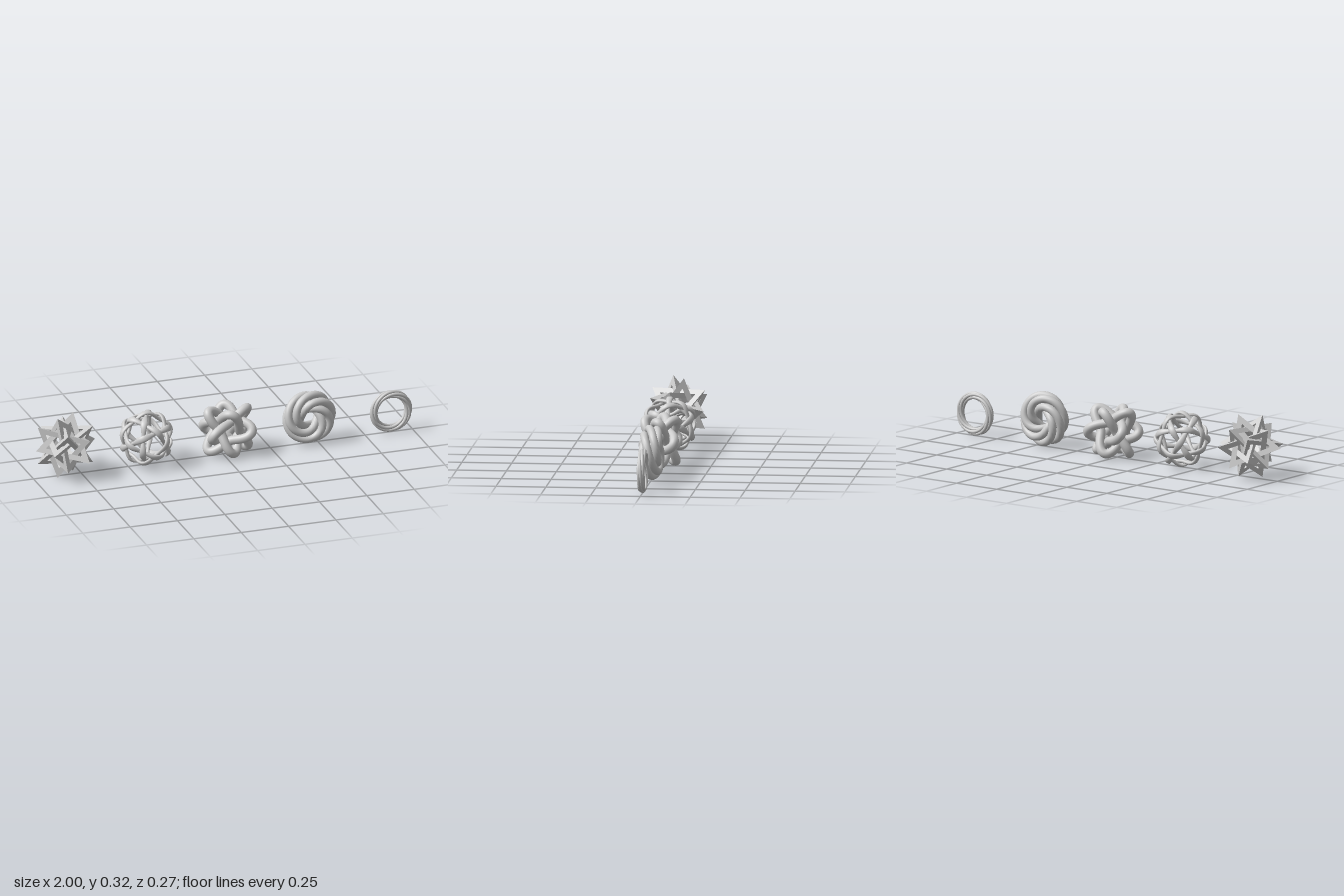
import * as THREE from 'three';

const V = (x, y, z) => new THREE.Vector3(x, y, z);
const polar = (radius, deg, z) =>
  V(radius * Math.cos(THREE.MathUtils.degToRad(deg)), radius * Math.sin(THREE.MathUtils.degToRad(deg)), z);
const material = new THREE.MeshStandardMaterial({ color: 0xcccccc });
const flatMaterial = new THREE.MeshStandardMaterial({ color: 0xcccccc, flatShading: true });

function addMesh(parent, name, geometry, mat = material) {
  const mesh = new THREE.Mesh(geometry, mat);
  mesh.name = name;
  parent.add(mesh);
}

// Closed strand with an elliptical section: thickness along normalAt, width across it
function sweepLoop(pointAt, normalAt, thickness, widthAt, steps = 160, sides = 14) {
  const positions = [], index = [];
  for (let i = 0; i < steps; i++) {
    const t = (i / steps) * Math.PI * 2;
    const p = pointAt(t);
    const tangent = pointAt(t + 0.001).sub(pointAt(t - 0.001)).normalize();
    const normal = normalAt(t, p);
    normal.addScaledVector(tangent, -normal.dot(tangent)).normalize();
    const across = tangent.clone().cross(normal);
    for (let j = 0; j < sides; j++) {
      const a = (j / sides) * Math.PI * 2;
      const q = p.clone()
        .addScaledVector(normal, thickness * Math.cos(a))
        .addScaledVector(across, widthAt(t) * Math.sin(a));
      positions.push(q.x, q.y, q.z);
      const i2 = (i + 1) % steps, j2 = (j + 1) % sides;
      const A = i * sides + j, B = i * sides + j2, C = i2 * sides + j, D = i2 * sides + j2;
      index.push(A, B, C, B, D, C);
    }
  }
  const geometry = new THREE.BufferGeometry();
  geometry.setAttribute('position', new THREE.Float32BufferAttribute(positions, 3));
  geometry.setIndex(index);
  geometry.computeVertexNormals();
  return geometry;
}

// Rings around the given axes, passing alternately over and under one another
function wovenRings(name, axes, waves, inner, outer, thickness, widthAt, zScale) {
  const group = new THREE.Group();
  group.name = name;
  axes.forEach((n, i) => {
    const m = axes[(i + 1) % axes.length].clone();
    if (n.dot(m) < 0) m.negate();
    const u = n.clone().cross(m).normalize();
    const v = n.clone().cross(u);
    const mid = (1 / inner + 1 / outer) / 2, swing = (1 / inner - 1 / outer) / 2;
    const pointAt = (t) => {
      const r = 1 / (mid - swing * Math.cos(waves * t));
      const p = u.clone().multiplyScalar(r * Math.cos(t)).addScaledVector(v, r * Math.sin(t));
      p.z *= zScale;
      return p;
    };
    addMesh(group, 'wovenRing' + (i + 1), sweepLoop(pointAt, (t, p) => p.clone(), thickness, widthAt));
  });
  return group;
}

// Linked strands, each winding once around the tube of a ring
function twistedRing(name, count, ringRadius, windRadius, strandRadius) {
  const group = new THREE.Group();
  group.name = name;
  for (let k = 0; k < count; k++) {
    const phase = (k / count) * Math.PI * 2;
    const normalAt = (t) =>
      V(Math.cos(t + phase) * Math.cos(t), Math.cos(t + phase) * Math.sin(t), Math.sin(t + phase));
    const pointAt = (t) =>
      V(Math.cos(t), Math.sin(t), 0).multiplyScalar(ringRadius).addScaledVector(normalAt(t), windRadius);
    addMesh(group, 'strand' + (k + 1), sweepLoop(pointAt, normalAt, strandRadius, () => strandRadius));
  }
  return group;
}

// Open tetrahedron: a triangular window in every face leaves six bars
function tetraFrame(corners, windowScale) {
  const positions = [];
  const add = (pts, outward) => {
    for (let k = 1; k < pts.length - 1; k++) {
      let [a, b, c] = [pts[0], pts[k], pts[k + 1]];
      const normal = b.clone().sub(a).cross(c.clone().sub(a));
      if (normal.dot(a) > 0 !== outward) [b, c] = [c, b];
      for (const p of [a, b, c]) positions.push(p.x, p.y, p.z);
    }
  };
  // Window corner near vertex i, on the face opposite vertex f
  const windowCorner = (i, f) =>
    corners[f].clone().multiplyScalar(-1 / 3).lerp(corners[i], windowScale);
  for (let i = 0; i < 4; i++) {
    const others = [0, 1, 2, 3].filter((k) => k !== i);
    add(others.map((f) => windowCorner(i, f)), false);
    for (const j of others.filter((k) => k > i)) {
      const [f, g] = others.filter((k) => k !== j);
      for (const face of [f, g]) {
        add([corners[i], corners[j], windowCorner(j, face), windowCorner(i, face)], true);
      }
      add([windowCorner(i, f), windowCorner(j, f), windowCorner(j, g), windowCorner(i, g)], false);
    }
  }
  const geometry = new THREE.BufferGeometry();
  geometry.setAttribute('position', new THREE.Float32BufferAttribute(positions, 3));
  geometry.computeVertexNormals();
  return geometry;
}

// Five interlocking tetrahedra with their corners on a dodecahedron
function tetraStar(radius) {
  const group = new THREE.Group();
  group.name = 'tetrahedronStar';
  const vertices = [];
  for (let k = 0; k < 5; k++) {
    for (const [r, z] of [[0.607, 0.795], [0.982, 0.188]]) {
      vertices.push(polar(r, 36 + 72 * k, z), polar(r, 72 * k, -z));
    }
  }
  const apart = (a) => (b) => Math.abs(a.dot(b) + 1 / 3) < 0.05;
  const first = vertices[0];
  const candidates = vertices.filter(apart(first));
  const second = candidates[0];
  const corners = [first, second, ...candidates.filter(apart(second))].map((p) => p.clone().multiplyScalar(radius));
  for (let k = 0; k < 5; k++) {
    const geometry = tetraFrame(corners, 0.67);
    geometry.rotateZ((k * Math.PI * 2) / 5);
    addMesh(group, 'tetrahedronFrame' + (k + 1), geometry, flatMaterial);
  }
  return group;
}

export function createModel() {
  const model = new THREE.Group();
  model.name = 'tangleCollection';
  const place = (part, x, y) => {
    part.position.set(x, y, 0);
    model.add(part);
  };

  place(tetraStar(0.17), -0.832, 0.162);

  // Ball of six woven great circles
  const ballAxes = [V(0, 0, 1)];
  for (let k = 0; k < 5; k++) ballAxes.push(polar(2, 72 * k, 1).normalize());
  place(wovenRings('wovenBall', ballAxes, 5, 0.114, 0.134, 0.009,
    (t) => 0.013 + 0.004 * Math.cos(5 * t), 1), -0.405, 0.144);

  // Knot of four rounded triangular rings
  const knotAxes = [V(1, 1, 1), V(1, -1, -1), V(-1, 1, -1), V(-1, -1, 1)].map((a) => a.normalize());
  place(wovenRings('ringKnot', knotAxes, 3, 0.07, 0.145, 0.023, () => 0.023, 0.74), 0.025, 0.132);

  place(twistedRing('wideTwistedRing', 5, 0.0825, 0.037, 0.02), 0.455, 0.14);
  place(twistedRing('slimTwistedRing', 5, 0.091, 0.012, 0.0085), 0.887, 0.113);
  return model;
}
